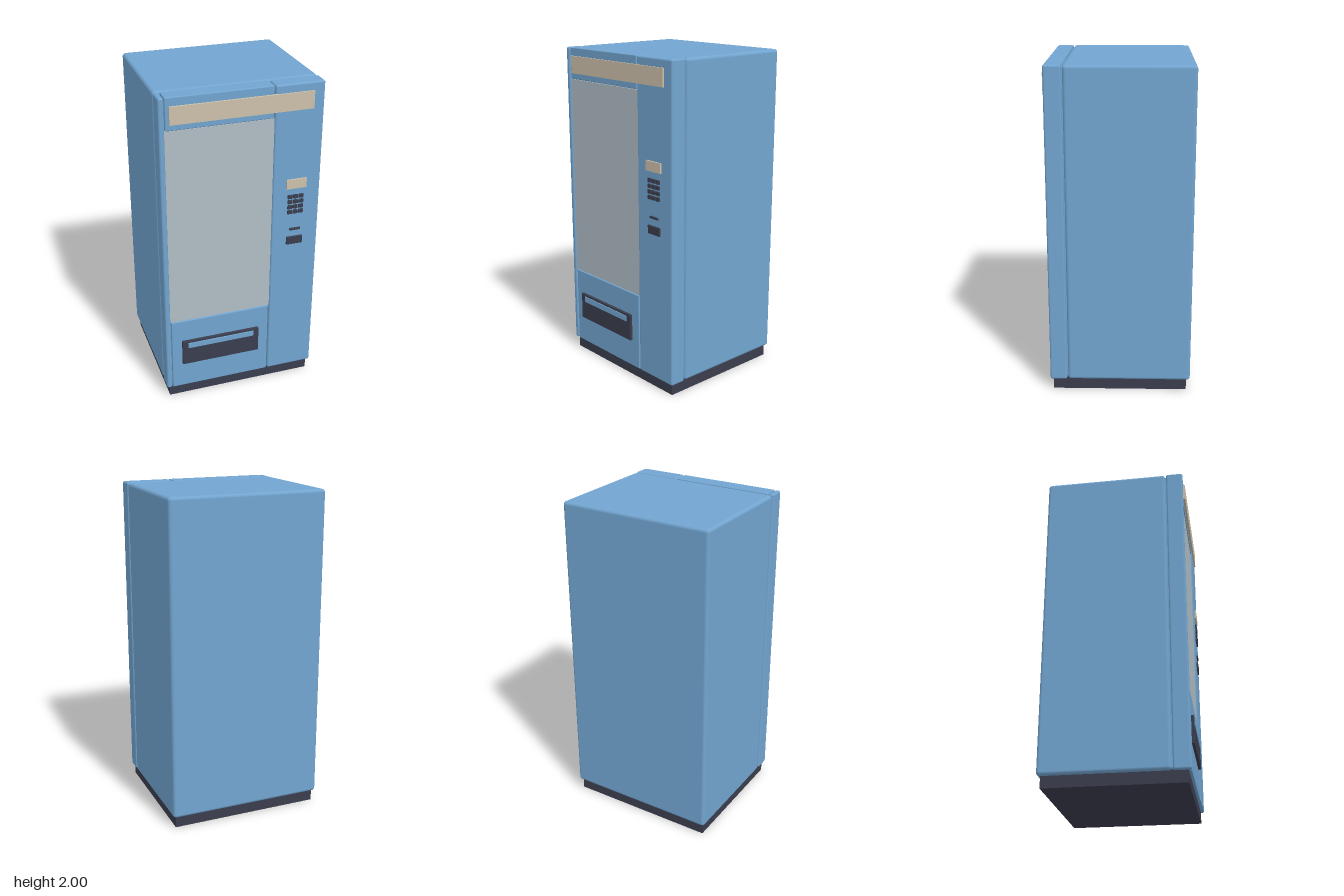
import * as THREE from 'three';
import { RoundedBoxGeometry } from 'three/addons/geometries/RoundedBoxGeometry.js';

const mat = (name, color) => {
  const m = new THREE.MeshStandardMaterial({ color });
  m.name = name;
  return m;
};

export function createModel() {
  const blue = mat('cabinet blue', 0x72a5d0);
  const dark = mat('dark plastic', 0x3a3d4d);
  const cream = mat('cream panel', 0xcdc1aa);
  const glass = mat('pale glass', 0xb1bec6);

  const model = new THREE.Group();
  model.name = 'vendingMachine';

  // Box from its limits on each axis, with an optional rounded edge
  const box = (name, material, [x0, x1], [y0, y1], [z0, z1], radius = 0, parent = model) => {
    const size = [x1 - x0, y1 - y0, z1 - z0];
    const geometry = radius
      ? new RoundedBoxGeometry(...size, 3, radius)
      : new THREE.BoxGeometry(...size);
    const mesh = new THREE.Mesh(geometry, material);
    mesh.name = name;
    mesh.position.set((x0 + x1) / 2, (y0 + y1) / 2, (z0 + z1) / 2);
    parent.add(mesh);
    return mesh;
  };

  // Plinth and main cabinet
  box('plinth', dark, [-0.465, 0.465], [0, 0.075], [-0.415, 0.402]);
  box('cabinet', blue, [-0.484, 0.484], [0.07, 2], [-0.438, 0.312], 0.02);
  box('doorGasket', blue, [-0.465, 0.465], [0.085, 1.985], [0.3, 0.33]);

  // Door: side strip, control column, header and lower panel
  const door = new THREE.Group();
  door.name = 'door';
  model.add(door);
  const depth = [0.318, 0.421];
  const inner = [-0.446, 0.181];
  box('doorEdge', blue, [-0.484, -0.451], [0.07, 2], depth, 0.012, door);
  box('controlColumn', blue, [0.187, 0.484], [0.07, 2], depth, 0.012, door);
  box('doorHeader', blue, inner, [1.808, 2], [0.318, 0.418], 0.006, door);
  box('lowerPanel', blue, inner, [0.07, 0.558], [0.318, 0.418], 0.006, door);
  box('doorBacking', blue, [-0.46, 0.2], [0.085, 1.985], [0.325, 0.4], 0, door);
  box('window', glass, [-0.451, 0.187], [0.56, 1.806], [0.33, 0.413], 0, door);

  // Sign across the top
  box('sign', cream, [-0.424, 0.418], [1.845, 1.95], [0.415, 0.43]);

  // Delivery tray with its flap
  box('deliveryTray', dark, [-0.382, 0.116], [0.244, 0.414], [0.41, 0.434], 0.004);
  box('deliveryFlap', blue, [-0.346, 0.08], [0.362, 0.4], [0.43, 0.438], 0.003);

  // Controls: display, keypad, coin slot and coin return
  const controls = new THREE.Group();
  controls.name = 'controls';
  model.add(controls);
  const face = [0.415, 0.43];
  box('display', cream, [0.27, 0.395], [1.358, 1.418], face, 0, controls);
  for (let row = 0; row < 4; row++) {
    for (let col = 0; col < 3; col++) {
      const x = 0.297 + col * 0.0345;
      const y = 1.304 - row * 0.0335;
      box('key', dark, [x - 0.015, x + 0.015], [y - 0.0125, y + 0.0125], face, 0.004, controls);
    }
  }
  box('coinSlot', dark, [0.3, 0.369], [1.079, 1.093], face, 0.003, controls);
  box('coinReturn', dark, [0.282, 0.385], [0.984, 1.036], face, 0.004, controls);

  return model;
}
